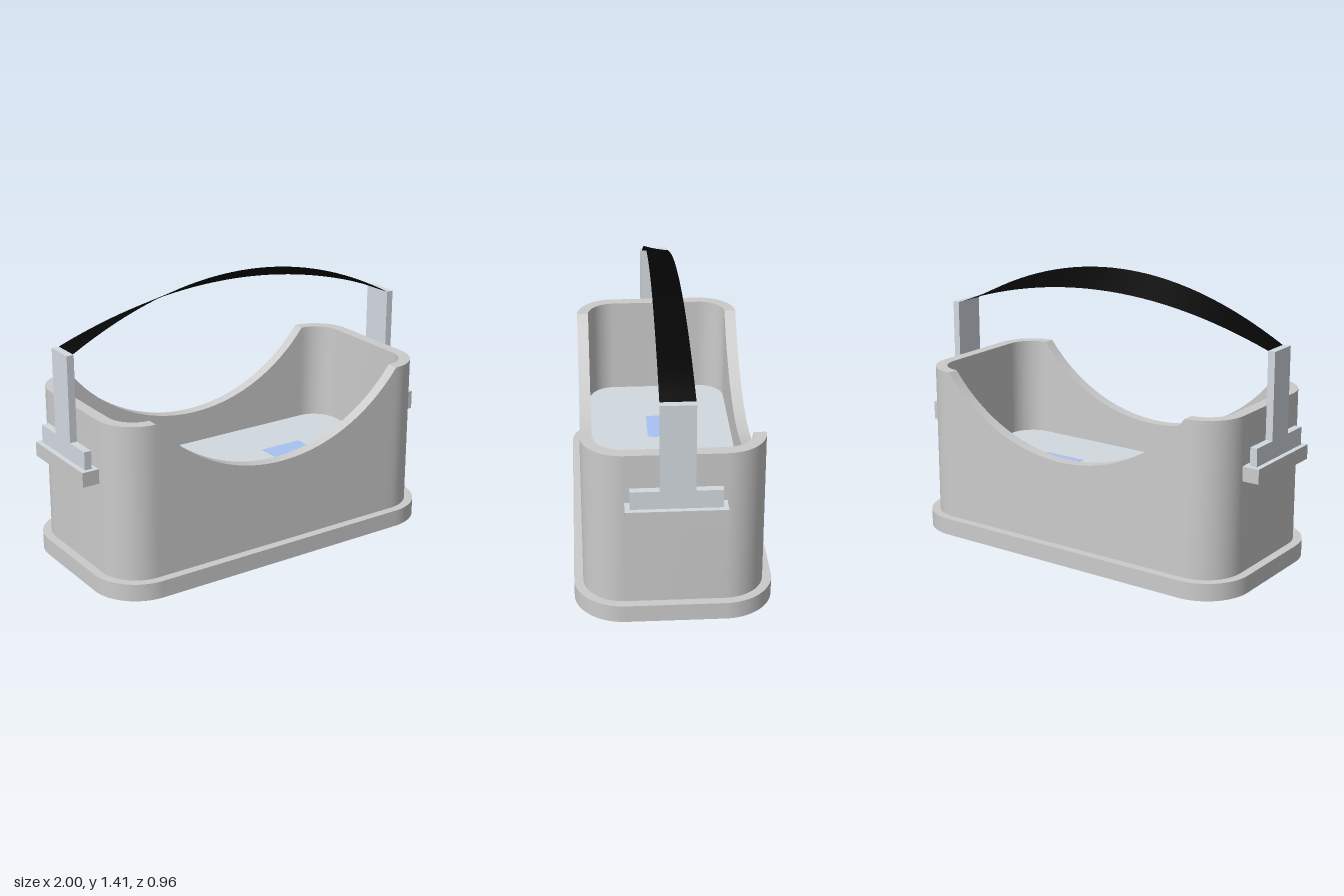
import * as THREE from 'three';
import { toCreasedNormals } from 'three/addons/utils/BufferGeometryUtils.js';

const grey = new THREE.MeshStandardMaterial({ color: 0xcccccc });
const pale = new THREE.MeshStandardMaterial({ color: 0xd3dae0 });
const blue = new THREE.MeshStandardMaterial({ color: 0xa8c2f4 });
const black = new THREE.MeshStandardMaterial({ color: 0x060606, side: THREE.DoubleSide });

// Centres of the rounded corners; every outline is an offset from these
const CX = 0.715, CZ = 0.237;
const WALL_TOP = 0.871, NOTCH_R = 0.9085, NOTCH_LOW = 0.523;
const FLOOR_TOP = 0.354;

function add(parent, name, geometry, material) {
  const mesh = new THREE.Mesh(geometry, material);
  mesh.name = name;
  parent.add(mesh);
  return mesh;
}

// Box given by its minimum and maximum corners
function boxBetween([x0, y0, z0], [x1, y1, z1]) {
  return new THREE.BoxGeometry(x1 - x0, y1 - y0, z1 - z0)
    .translate((x0 + x1) / 2, (y0 + y1) / 2, (z0 + z1) / 2);
}

// Flat slab with rounded corners
function slab(r, y, height) {
  const s = new THREE.Shape();
  s.absarc(CX, CZ, r, 0, Math.PI / 2);
  s.absarc(-CX, CZ, r, Math.PI / 2, Math.PI);
  s.absarc(-CX, -CZ, r, Math.PI, Math.PI * 1.5);
  s.absarc(CX, -CZ, r, Math.PI * 1.5, Math.PI * 2);
  s.closePath();
  const g = new THREE.ExtrudeGeometry(s, { depth: height, bevelEnabled: false, curveSegments: 16 });
  g.rotateX(-Math.PI / 2).translate(0, y, 0);
  return toCreasedNormals(g, 0.5);
}

// Height of the wall: level at the ends, scooped by a circle in the middle
function wallHeight(x) {
  if (Math.abs(x) >= CX) return WALL_TOP;
  return Math.min(WALL_TOP, NOTCH_LOW + NOTCH_R - Math.sqrt(NOTCH_R ** 2 - x * x));
}

// Hollow wall: a four-point section swept round the rounded outline
function wallGeometry(outer, inner, bottom) {
  const path = [];
  const signs = [[1, 1], [-1, 1], [-1, -1], [1, -1]];
  signs.forEach(([sx, sz], q) => {
    for (let i = 0; i <= 14; i++) {
      const a = (q + i / 14) * Math.PI / 2;
      path.push([sx * CX, sz * CZ, Math.cos(a), Math.sin(a)]);
    }
    if (q % 2 === 0) {
      for (let i = 1; i < 40; i++) path.push([sx * CX * (1 - i / 20), sz * CZ, 0, sz]);
    }
  });
  const pos = [], index = [], n = path.length;
  path.forEach(([cx, cz, nx, nz], i) => {
    const top = wallHeight(cx);
    for (const [r, y] of [[outer, bottom], [outer, top], [inner, top], [inner, bottom]]) {
      pos.push(cx + nx * r, y, cz + nz * r);
    }
    for (let k = 0; k < 3; k++) {
      const a = i * 4 + k, c = ((i + 1) % n) * 4 + k;
      index.push(a, a + 1, c, c, a + 1, c + 1);
    }
  });
  const g = new THREE.BufferGeometry();
  g.setAttribute('position', new THREE.Float32BufferAttribute(pos, 3));
  g.setIndex(index);
  return toCreasedNormals(g, 0.5);
}

// Thin arched ribbon, its front edge rising higher than its back edge
function strapGeometry() {
  const pos = [], index = [], n = 32;
  for (let i = 0; i <= n; i++) {
    const t = i / n, x = (t * 2 - 1) * 0.937;
    const arch = 1 - (t * 2 - 1) ** 2;
    pos.push(x, 1.15 + 0.26 * arch, THREE.MathUtils.lerp(0.068, 0.077, t));
    pos.push(x, 1.15 + 0.174 * arch, THREE.MathUtils.lerp(-0.072, -0.088, t));
    if (i < n) {
      const a = i * 2;
      index.push(a, a + 2, a + 1, a + 1, a + 2, a + 3);
    }
  }
  const g = new THREE.BufferGeometry();
  g.setAttribute('position', new THREE.Float32BufferAttribute(pos, 3));
  g.setIndex(index);
  g.computeVertexNormals();
  return g;
}

export function createModel() {
  const model = new THREE.Group();
  model.name = 'strapHandledTub';

  // Tub: plinth, scooped wall and raised floor
  add(model, 'base', slab(0.242, 0, 0.088), grey);
  add(model, 'wall', wallGeometry(0.198, 0.138, 0.088), grey);
  add(model, 'floor', slab(0.143, FLOOR_TOP - 0.06, 0.06), pale);

  for (const side of [1, -1]) {
    const name = side > 0 ? 'left' : 'right';

    // Inlaid pad, almost flush with the floor
    add(model, name + 'FloorPad', new THREE.BoxGeometry(0.24, 0.002, 0.145), blue)
      .position.set(side * 0.36, FLOOR_TOP, 0);

    // Ledge on the end wall, carrying an upturned T bracket
    const mount = new THREE.Group();
    mount.name = name + 'Mount';
    const span = (a, b) => (side > 0 ? [a, b] : [-b, -a]);
    const [l0, l1] = span(0.905, 1);
    const [b0, b1] = span(0.938, 0.975);
    add(mount, 'ledge', boxBetween([l0, side > 0 ? 0.53 : 0.552, -0.238], [l1, 0.624, 0.238]), grey);
    add(mount, 'ledgeCap', boxBetween([l0, 0.624, -0.238], [l1, 0.626, 0.238]), pale);
    add(mount, 'bracketFoot', boxBetween([b0, 0.626, -0.215], [b1, 0.717, 0.215]), pale);
    add(mount, 'bracketPost', boxBetween([b0, 0.717, side > 0 ? -0.088 : -0.072], [b1, 1.15, 0.077]), pale);
    model.add(mount);
  }

  add(model, 'strap', strapGeometry(), black);
  return model;
}
